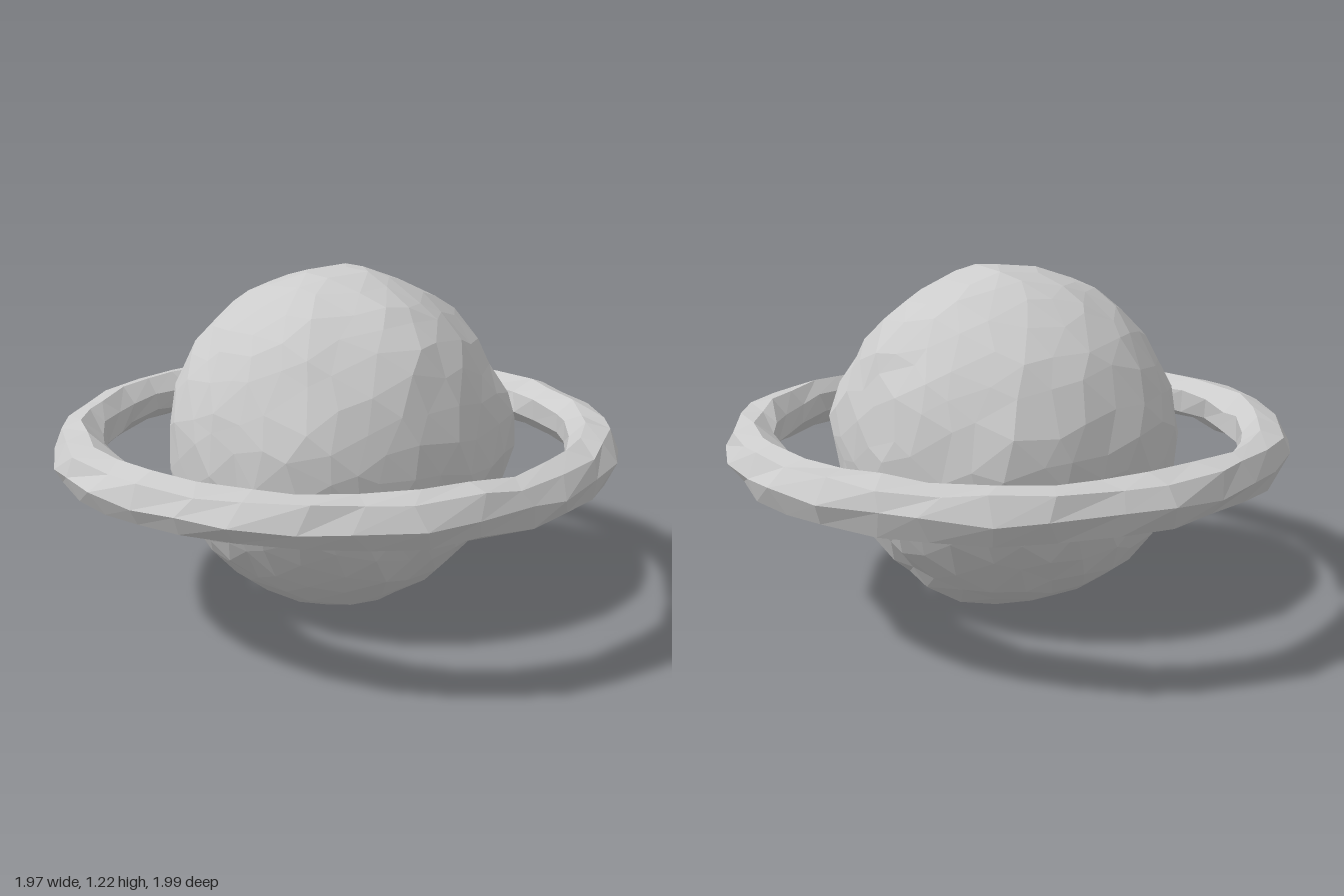
import * as THREE from 'three';
import { mergeVertices } from 'three/addons/utils/BufferGeometryUtils.js';

// Small seeded generator, returns -1..1
function seeded(seed) {
  let s = seed;
  return () => {
    s = (s * 16807) % 2147483647;
    return (s / 2147483647) * 2 - 1;
  };
}

// Weld a geometry, then move every vertex by a rule
function sculpt(geometry, rule) {
  geometry.deleteAttribute('uv');
  geometry.deleteAttribute('normal');
  const welded = mergeVertices(geometry);
  const pos = welded.attributes.position;
  const v = new THREE.Vector3();
  for (let i = 0; i < pos.count; i++) {
    rule(v.fromBufferAttribute(pos, i));
    pos.setXYZ(i, v.x, v.y, v.z);
  }
  welded.computeVertexNormals();
  return welded;
}

export function createModel() {
  const group = new THREE.Group();
  group.name = 'ringedPlanet';
  const material = new THREE.MeshStandardMaterial({ color: 0xcccccc, flatShading: true });

  // Planet: faceted ball with a few broad lumps (direction, height) and fine roughness
  const lumps = [
    [0.52, 0.08, -0.4, 0.045], [0.2, 0.42, -0.45, 0.03], [-0.45, -0.32, 0.2, 0.025],
    [0, -0.53, -0.32, 0.025], [0.02, -0.62, 0.04, 0.018], [-0.42, 0.05, -0.46, 0.025],
    [0.35, 0.05, 0.5, 0.02], [-0.4, 0, 0.45, -0.015], [0, 0.6, -0.1, 0.02],
    [-0.6, 0.1, 0, 0.015], [0.45, 0.4, 0.05, 0.02],
  ].map(([x, y, z, h]) => ({ dir: new THREE.Vector3(x, y, z).normalize(), h }));
  const rough = seeded(71);
  const ball = sculpt(new THREE.IcosahedronGeometry(1, 5), (v) => {
    v.x += rough() * 0.05;
    v.y += rough() * 0.05;
    v.z += rough() * 0.05;
    v.normalize();
    let r = 0.602 + rough() * 0.007;
    for (const { dir, h } of lumps) r += h * Math.exp(-v.distanceToSquared(dir) / 0.06);
    v.multiplyScalar(r);
  });
  const planet = new THREE.Mesh(ball, material);
  planet.name = 'planet';
  planet.position.y = 0.62;
  group.add(planet);

  // Ring: chunky hewn hoop around the equator
  const chip = seeded(1234);
  const hoop = sculpt(new THREE.TorusGeometry(0.905, 0.087, 7, 34).rotateX(Math.PI / 2), (v) => {
    const angle = Math.atan2(v.z, v.x) + chip() * 0.035;
    const radius = Math.min(Math.hypot(v.x, v.z) + chip() * 0.012, 1);
    v.set(Math.cos(angle) * radius, v.y + chip() * 0.011, Math.sin(angle) * radius);
  });
  const ring = new THREE.Mesh(hoop, material);
  ring.name = 'ring';
  ring.position.y = 0.628;
  group.add(ring);

  return group;
}
